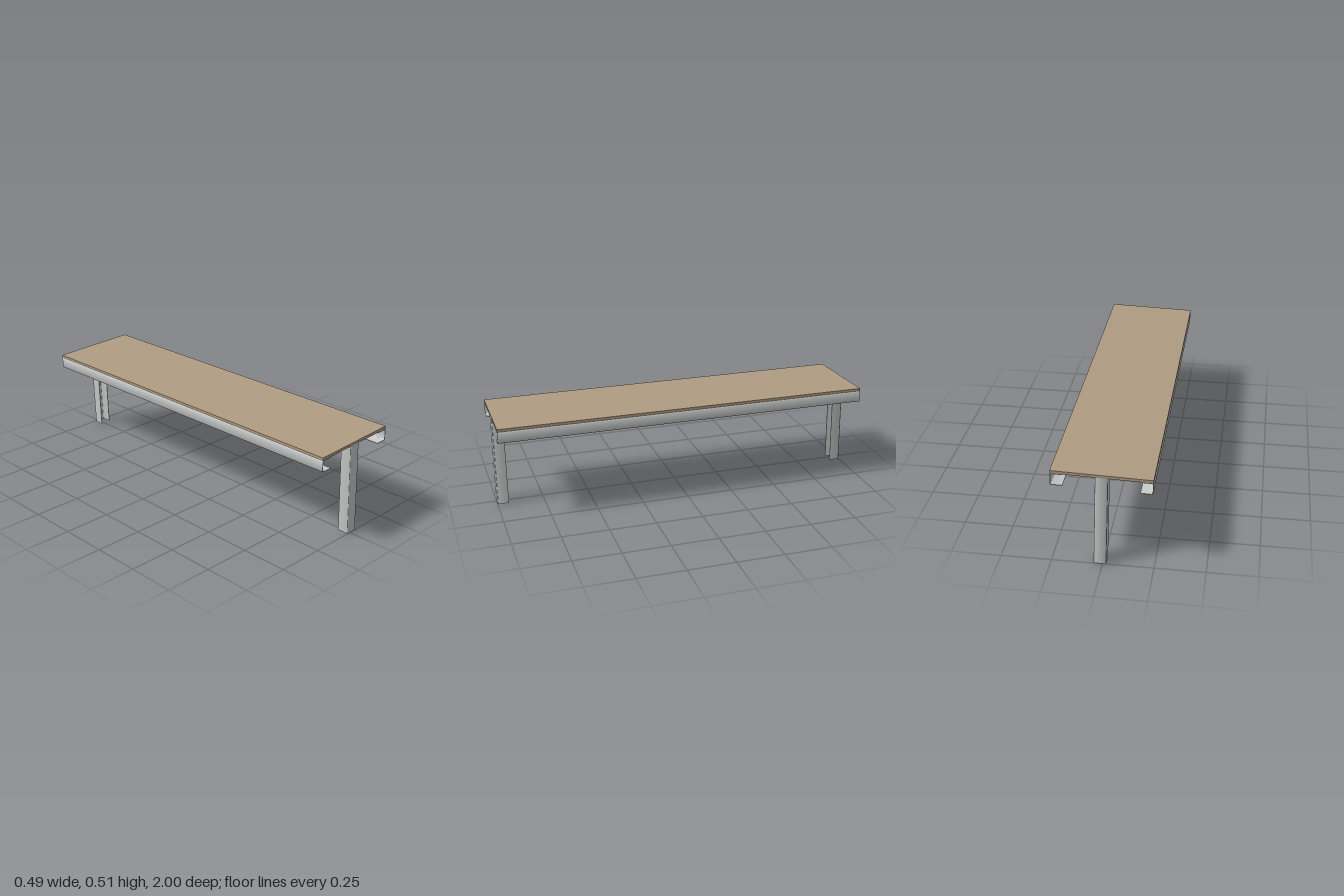
import * as THREE from 'three';
import { toCreasedNormals } from 'three/addons/utils/BufferGeometryUtils.js';

const wood = new THREE.MeshStandardMaterial({ name: 'tan board', color: 0xb09c82 });
const steel = new THREE.MeshStandardMaterial({ name: 'grey steel', color: 0xc8cac9 });

// Bent sheet U-channel: the web spans `span`, the flanges run along `open`
function channel(name, { width, depth, length, open, span, position }) {
  const t = 0.003, r = 0.008, h = width / 2, i = r - t;
  const s = new THREE.Shape();
  s.moveTo(depth, h);
  s.lineTo(r, h);
  s.absarc(r, h - r, r, Math.PI / 2, Math.PI, false);
  s.lineTo(0, -h + r);
  s.absarc(r, -h + r, r, Math.PI, Math.PI * 1.5, false);
  s.lineTo(depth, -h);
  s.lineTo(depth, -h + t);
  s.lineTo(r, -h + t);
  s.absarc(r, -h + r, i, Math.PI * 1.5, Math.PI, true);
  s.lineTo(t, h - r);
  s.absarc(r, h - r, i, Math.PI, Math.PI / 2, true);
  s.lineTo(depth, h - t);
  s.closePath();
  let g = new THREE.ExtrudeGeometry(s, { depth: length, bevelEnabled: false, curveSegments: 5 });
  g.translate(0, 0, -length / 2);
  g = toCreasedNormals(g, 0.6);
  const X = new THREE.Vector3(...open), Y = new THREE.Vector3(...span);
  g.applyMatrix4(new THREE.Matrix4().makeBasis(X, Y, X.clone().cross(Y)));
  const mesh = new THREE.Mesh(g, steel);
  mesh.name = name;
  mesh.position.set(...position);
  return mesh;
}

export function createModel() {
  const model = new THREE.Group();
  model.name = 'bench';

  // Everything leans slightly about the long axis
  const body = new THREE.Group();
  body.name = 'leaningBody';
  body.position.x = 0.013;
  body.rotation.z = 0.03;
  model.add(body);

  // Seat board
  const board = new THREE.Mesh(new THREE.BoxGeometry(0.485, 0.015, 2), wood);
  board.name = 'seatBoard';
  board.position.y = 0.4945;
  body.add(board);

  for (const s of [1, -1]) {
    // Long side rail, opening inwards
    body.add(channel(s > 0 ? 'leftRail' : 'rightRail', {
      width: 0.062, depth: 0.06, length: 2,
      open: [-s, 0, 0], span: [0, 1, 0], position: [s * 0.2425, 0.4555, 0],
    }));
    // End leg, opening towards the middle
    body.add(channel(s > 0 ? 'frontLeg' : 'backLeg', {
      width: 0.062, depth: 0.06, length: 0.486,
      open: [0, 0, -s], span: [1, 0, 0], position: [0, 0.244, s],
    }));
    // Cross member between the rails, opening towards the end
    body.add(channel(s > 0 ? 'frontCrossMember' : 'backCrossMember', {
      width: 0.056, depth: 0.07, length: 0.472,
      open: [0, 0, s], span: [0, 1, 0], position: [0, 0.4555, s * 0.425],
    }));
  }
  return model;
}
